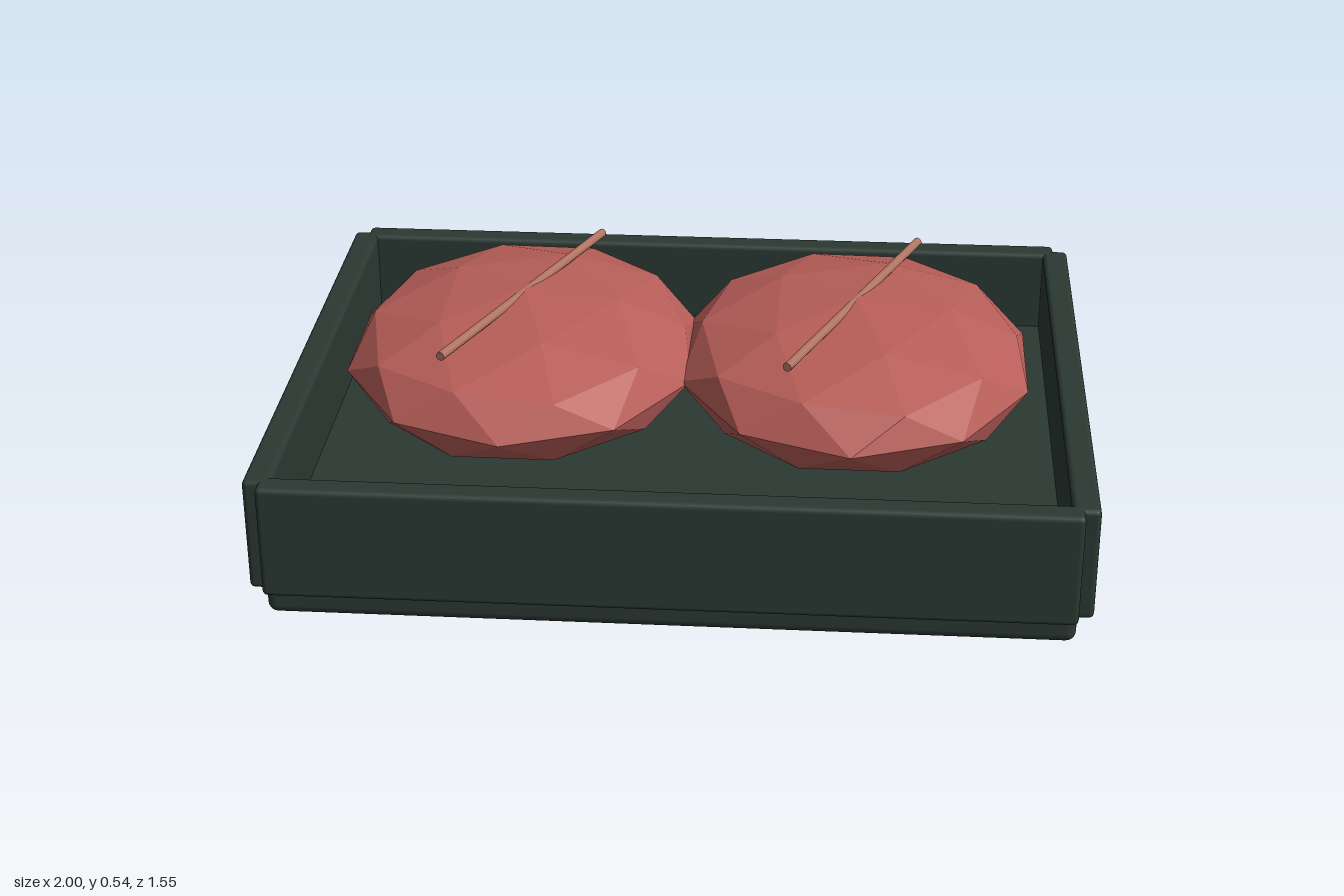
import * as THREE from 'three';
import { RoundedBoxGeometry } from 'three/addons/geometries/RoundedBoxGeometry.js';

export function createModel() {
  const model = new THREE.Group();
  model.name = 'servingTray';

  const trayMat = new THREE.MeshStandardMaterial({ color: 0x2b3933 });
  trayMat.name = 'dark green tray';
  const meatMat = new THREE.MeshStandardMaterial({ color: 0xb85e59, flatShading: true });
  meatMat.name = 'red patty';
  const stickMat = new THREE.MeshStandardMaterial({ color: 0xb27562 });
  stickMat.name = 'pale wood';

  function add(name, geometry, material, x, y, z) {
    const mesh = new THREE.Mesh(geometry, material);
    mesh.name = name;
    mesh.position.set(x, y, z);
    model.add(mesh);
    return mesh;
  }

  // Tray base, its lower half standing below the walls
  const floorY = 0.14;
  add('trayBase', new RoundedBoxGeometry(1.925, floorY, 1.475, 3, 0.025), trayMat, 0, floorY / 2, 0);

  // Four walls; each pair stops short of the corner so the corners are notched
  const wallY = 0.215, wallH = 0.29;
  for (const s of [1, -1]) {
    add(s > 0 ? 'frontWall' : 'backWall',
      new RoundedBoxGeometry(1.925, wallH, 0.067, 2, 0.013), trayMat, 0, wallY, s * 0.7395);
    add(s > 0 ? 'leftWall' : 'rightWall',
      new RoundedBoxGeometry(0.067, wallH, 1.475, 2, 0.013), trayMat, s * 0.9665, wallY, 0);
  }

  // Faceted patties: subdivided icosahedron with one corner turned to the top
  const patty = new THREE.IcosahedronGeometry(1, 1);
  patty.rotateZ(-Math.atan(2 / (1 + Math.sqrt(5))));
  patty.scale(0.456, 0.167, 0.547);

  // Thin skewers lying diagonally across the patties
  const skewer = new THREE.CylinderGeometry(0.0115, 0.0115, 0.835, 10);
  skewer.rotateX(Math.PI / 2);
  skewer.rotateY(-Math.atan2(0.315, 0.77));

  for (const s of [1, -1]) {
    const side = s > 0 ? 'left' : 'right';
    add(side + 'Patty', patty, meatMat, s * 0.42, 0.373, 0);
    add(side + 'Skewer', skewer, stickMat, s * 0.419, 0.529, 0);
  }

  return model;
}
